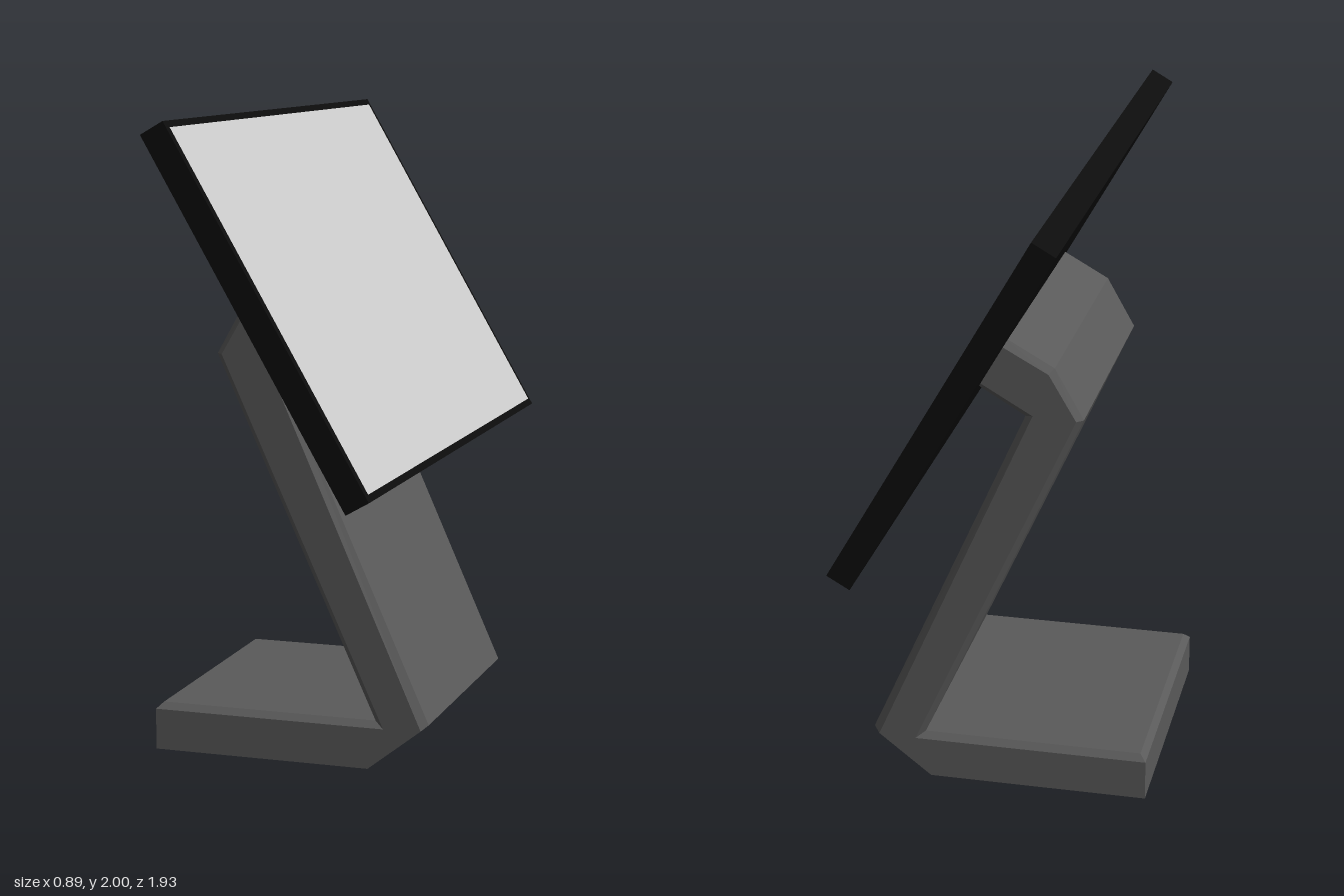
import * as THREE from 'three';

const HALF = 0.445;   // half width of the stand
const BEVEL = 0.02;

// Stations along the folded stand, as [x, y] pairs:
// t = upper face, ts = its bevel on the side, bs = lower face's bevel on the side, b = lower face
const stations = [
  { t: [-0.43, 0.15], ts: [-0.45, 0.13], bs: [-0.45, 0], b: [-0.45, 0], sharp: true },
  { t: [0.27, 0.15], ts: [0.30, 0.13], bs: [0.25, 0], b: [0.25, 0], sharp: true },
  { t: [0.27, 0.15], ts: [0.30, 0.13], bs: [0.42, 0.134], b: [0.44, 0.15] },
  { t: [-0.24, 1.27], ts: [-0.22, 1.27], bs: [-0.086, 1.278], b: [-0.06, 1.27] },
  { t: [-0.15, 1.43], ts: [-0.135, 1.415], bs: [-0.086, 1.278], b: [-0.06, 1.27] },
  { t: [0.01, 1.52], ts: [0.02, 1.50], bs: [0.09, 1.38], b: [0.10, 1.365] },
];

function ring({ t, ts, bs, b, sharp }) {
  const inner = HALF - BEVEL;
  const low = sharp ? HALF : inner;
  return [
    [...t, -inner], [...t, inner], [...ts, HALF], [...bs, HALF],
    [...b, low], [...b, -low], [...bs, -HALF], [...ts, -HALF],
  ].map((p) => new THREE.Vector3(...p));
}

function standGeometry() {
  const positions = [];
  const triangle = (a, b, c) => {
    const area = b.clone().sub(a).cross(c.clone().sub(a)).length();
    if (area > 1e-7) for (const p of [a, b, c]) positions.push(p.x, p.y, p.z);
  };
  const quad = (a, b, c, d) => { triangle(a, b, c); triangle(a, c, d); };

  const rings = stations.map(ring);
  for (let i = 0; i < rings.length - 1; i++) {
    for (let k = 0; k < 8; k++) {
      if (i === 0 && k === 4) continue;   // the base is open underneath
      const n = (k + 1) % 8;
      quad(rings[i][k], rings[i][n], rings[i + 1][n], rings[i + 1][k]);
    }
  }
  // Free end of the base, with its bevelled top edge
  const r = rings[0];
  quad(r[0], r[7], r[2], r[1]);
  quad(r[7], r[6], r[3], r[2]);

  const geometry = new THREE.BufferGeometry();
  geometry.setAttribute('position', new THREE.Float32BufferAttribute(positions, 3));
  geometry.computeVertexNormals();
  return geometry;
}

export function createModel() {
  const model = new THREE.Group();
  model.name = 'displayOnStand';

  // Folded hollow stand: base, leaning arm and neck
  const stand = new THREE.Mesh(
    standGeometry(),
    new THREE.MeshStandardMaterial({ color: 0x5a5a5a, side: THREE.DoubleSide, flatShading: true })
  );
  stand.name = 'stand';
  model.add(stand);

  // Tilted monitor
  const monitor = new THREE.Group();
  monitor.name = 'monitor';
  monitor.position.set(0.075, 1.45, 0);
  monitor.rotation.z = Math.PI / 6;
  model.add(monitor);

  const depth = 0.08, height = 1.223, width = 1.93, bezel = 0.022;
  const housing = new THREE.Mesh(
    new THREE.BoxGeometry(depth, height, width),
    new THREE.MeshStandardMaterial({ color: 0x0c0c0c })
  );
  housing.name = 'housing';

  const screen = new THREE.Mesh(
    new THREE.PlaneGeometry(width - 2 * bezel, height - 2 * bezel),
    new THREE.MeshStandardMaterial({ color: 0xcccccc })
  );
  screen.name = 'screen';
  screen.rotation.y = Math.PI / 2;
  screen.position.x = depth / 2 + 0.002;
  monitor.add(housing, screen);

  return model;
}
